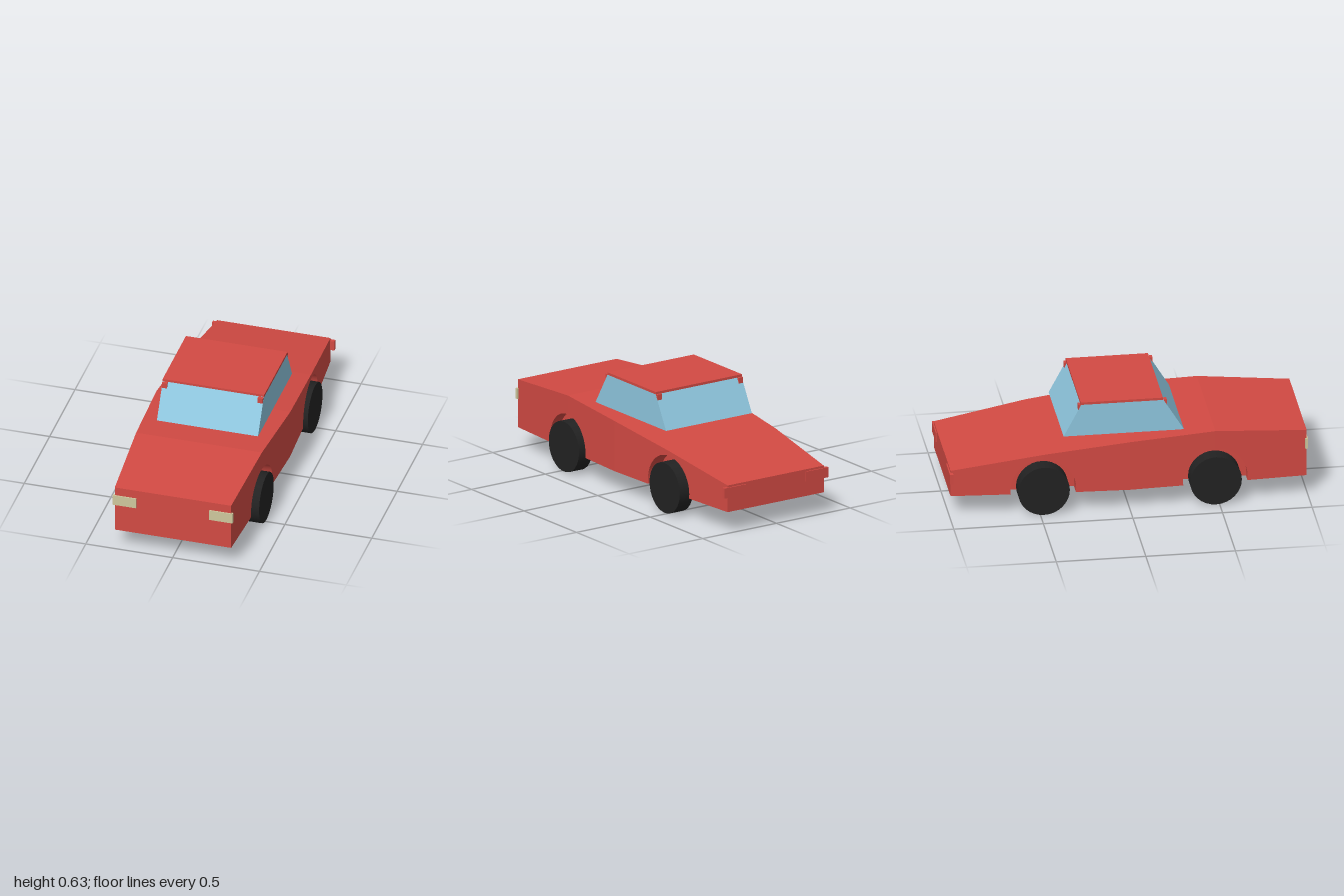
import * as THREE from 'three';
import { toCreasedNormals } from 'three/addons/utils/BufferGeometryUtils.js';

const paint = (name, color) => {
  const m = new THREE.MeshStandardMaterial({ color });
  m.name = name;
  return m;
};

// Body stations from nose to tail: z, top height, half width
const STATIONS = [
  [0.993, 0.396, 0.335],
  [0.48, 0.435, 0.362],
  [0, 0.41, 0.385],
  [-0.48, 0.355, 0.364],
  [-0.993, 0.274, 0.326],
];
const FLOOR = 0.12, CORE = 0.29;
const AXLE_Y = 0.144, WHEEL_R = 0.144, ARCH_R = 0.182;

// Side outline of one body section, with x = -z; the arch is half a wheel opening
function sectionShape(front, back, arch) {
  const pts = [];
  const start = Math.asin((FLOOR - AXLE_Y) / ARCH_R);
  const arc = (z, dir) => {
    const list = [];
    for (let i = 0; i <= 12; i++) {
      const a = start + (Math.PI / 2 - start) * i / 12;
      list.push([-z + dir * ARCH_R * Math.cos(a), AXLE_Y + ARCH_R * Math.sin(a)]);
    }
    return list;
  };
  if (arch === 'front') pts.push(...arc(front[0], 1).reverse());
  else pts.push([-front[0], FLOOR]);
  if (arch === 'back') pts.push(...arc(back[0], -1));
  else pts.push([-back[0], FLOOR]);
  pts.push([-back[0], back[1]], [-front[0], front[1]]);
  return new THREE.Shape(pts.map(p => new THREE.Vector2(...p)));
}

// Extrude a side outline across x, from xMin(z) to xMax(z)
function across(shape, xMin, xMax) {
  const geo = new THREE.ExtrudeGeometry(shape, { depth: 1, bevelEnabled: false });
  geo.rotateY(Math.PI / 2);
  const p = geo.attributes.position;
  for (let i = 0; i < p.count; i++) {
    const z = p.getZ(i);
    p.setX(i, p.getX(i) > 0.5 ? xMax(z) : xMin(z));
  }
  return toCreasedNormals(geo, 0.3);
}

export function createModel() {
  const car = new THREE.Group();
  car.name = 'car';
  const red = paint('red paint', 0xd24a43);
  const blue = paint('window glass', 0x8fc7df);
  const cream = paint('headlight cream', 0xcfc79d);
  const black = paint('tyre black', 0x222222);

  const add = (name, geo, mat, x = 0, y = 0, z = 0) => {
    const m = new THREE.Mesh(geo, mat);
    m.name = name;
    m.position.set(x, y, z);
    car.add(m);
    return m;
  };

  // Body: a straight core with tapering fenders outside it
  for (let i = 0; i < 4; i++) {
    const f = STATIONS[i], b = STATIONS[i + 1];
    const half = z => b[2] + (f[2] - b[2]) * (z - b[0]) / (f[0] - b[0]);
    const inner = () => CORE;
    add('bodyCore', across(sectionShape(f, b), () => -CORE, inner), red);
    const fender = sectionShape(f, b, i % 2 ? 'front' : 'back');
    add('leftFender', across(fender, inner, half), red);
    add('rightFender', across(fender, z => -half(z), () => -CORE), red);
  }

  // Cabin glass
  const cabin = new THREE.Shape([
    [-0.315, 0.425], [0.357, 0.425], [0.258, 0.613], [-0.2, 0.613],
  ].map(p => new THREE.Vector2(...p)));
  add('cabinGlass', across(cabin, () => -0.291, () => 0.291), blue);

  // Roof panel
  add('roof', new THREE.BoxGeometry(0.584, 0.014, 0.459), red, 0, 0.619, -0.032);

  const tyre = new THREE.CylinderGeometry(WHEEL_R, WHEEL_R, 0.089, 32).rotateZ(Math.PI / 2);
  for (const s of [1, -1]) {
    // Wheels and roof corner blocks
    for (const z of [0.48, -0.48]) add('wheel', tyre, black, s * 0.3435, AXLE_Y, z);
    for (const z of [0.204, -0.26])
      add('roofCorner', new THREE.BoxGeometry(0.03, 0.034, 0.03), red, s * 0.2755, 0.596, z);
    // Lights
    add('headlight', new THREE.BoxGeometry(0.135, 0.061, 0.015), cream, s * 0.2775, 0.316, 0.9925);
    add('tailLight', new THREE.BoxGeometry(0.15, 0.058, 0.02), red, s * 0.277, 0.233, -0.99);
  }
  return car;
}
